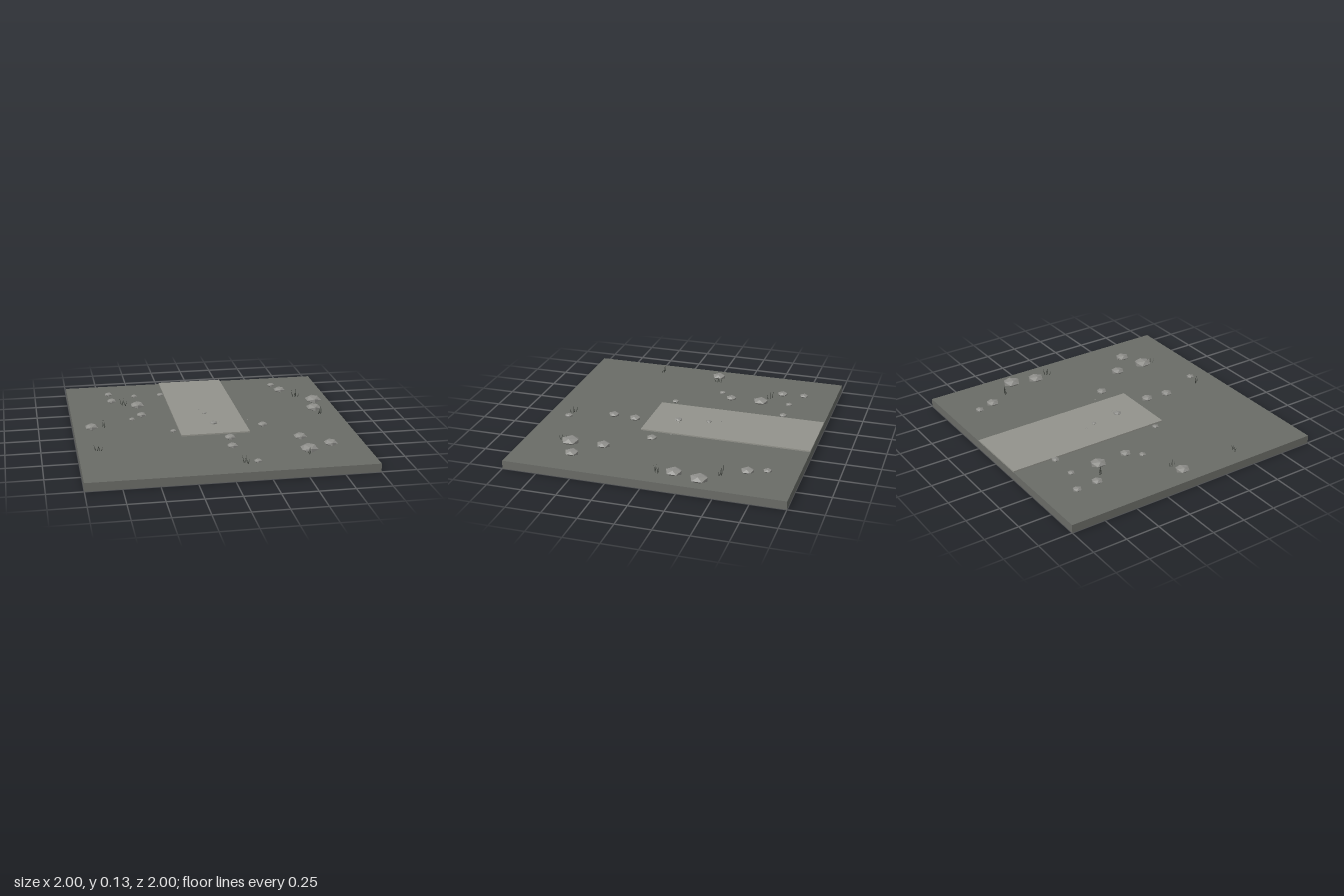
import * as THREE from 'three';

const flat = (name, color) => {
  const m = new THREE.MeshStandardMaterial({ color, flatShading: true });
  m.name = name;
  return m;
};

export function createModel() {
  const root = new THREE.Group();
  root.name = 'stonyGround';
  const ground = flat('ground grey', 0x6a6c67);
  const paving = flat('path grey', 0x93938c);
  const stone = flat('stone grey', 0x8e8e8a);
  const grass = flat('dry grass', 0x454943);

  const add = (parent, name, geometry, material, x, y, z) => {
    const mesh = new THREE.Mesh(geometry, material);
    mesh.name = name;
    mesh.position.set(x, y, z);
    parent.add(mesh);
    return mesh;
  };

  // Ground slab with a raised path running in from the back edge
  add(root, 'groundSlab', new THREE.BoxGeometry(2, 0.06, 2), ground, 0, 0.03, 0);
  add(root, 'path', new THREE.BoxGeometry(0.5, 0.01, 1.25), paving, 0, 0.065, -0.375);

  // Flattened stones: x, z, half width
  const stones = new THREE.Group();
  stones.name = 'stones';
  root.add(stones);
  const rockShape = new THREE.IcosahedronGeometry(1 / 0.85, 0);
  [
    [-0.68, -0.76, 0.027], [-0.485, -0.685, 0.021], [-0.28, -0.685, 0.024],
    [-0.67, -0.595, 0.033], [-0.485, -0.465, 0.048], [-0.48, -0.235, 0.033],
    [-0.56, -0.145, 0.021], [-0.87, -0.03, 0.043], [-0.295, 0.155, 0.021],
    [-0.01, -0.19, 0.016], [0.02, 0.035, 0.026], [0.085, 0.35, 0.036],
    [0.07, 0.52, 0.034], [0.185, 0.835, 0.025], [0.37, 0.125, 0.032],
    [0.58, 0.415, 0.042], [0.76, 0.58, 0.043], [0.585, 0.66, 0.056],
    [0.635, -0.785, 0.026], [0.675, -0.655, 0.04], [0.88, -0.375, 0.055],
    [0.835, -0.185, 0.05],
    // Tiny pebbles
    [-0.04, -0.275, 0.006], [0.065, 0.02, 0.006], [0.28, 0.01, 0.006],
  ].forEach(([x, z, r]) => {
    add(stones, 'stone', rockShape, stone, x, 0.073, z).scale.set(r, r * 0.45, r * 1.08);
  });

  // Grass tufts: x, z, tallest blade, turn; blades lean out from the centre
  const blade = new THREE.ConeGeometry(0.004, 1, 3).translate(0, 0.5, 0);
  const up = new THREE.Vector3(0, 1, 0);
  [
    [-0.59, -0.515, 0.065, 0.6], [-0.78, -0.05, 0.06, 1.3], [-0.86, 0.43, 0.05, 0.1],
    [0.1, 0.83, 0.065, 0.8], [0.57, 0.725, 0.06, 1.7], [0.855, -0.07, 0.07, 2.2],
    [0.765, -0.495, 0.07, 0.2],
  ].forEach(([x, z, height, turn]) => {
    const tuft = new THREE.Group();
    tuft.name = 'grassTuft';
    tuft.position.set(x, 0.058, z);
    tuft.rotation.y = -turn;
    root.add(tuft);
    [[-0.018, -0.014, 0.004, 0.9], [-0.006, 0.008, -0.006, 0.7],
      [0.007, -0.006, 0.007, 1], [0.02, 0.014, -0.004, 0.6]].forEach(([bx, dx, dz, h]) => {
      const mesh = add(tuft, 'grassBlade', blade, grass, bx, 0, -dz);
      const tip = new THREE.Vector3(dx, height * h, dz);
      mesh.scale.y = tip.length();
      mesh.quaternion.setFromUnitVectors(up, tip.normalize());
    });
  });

  return root;
}
